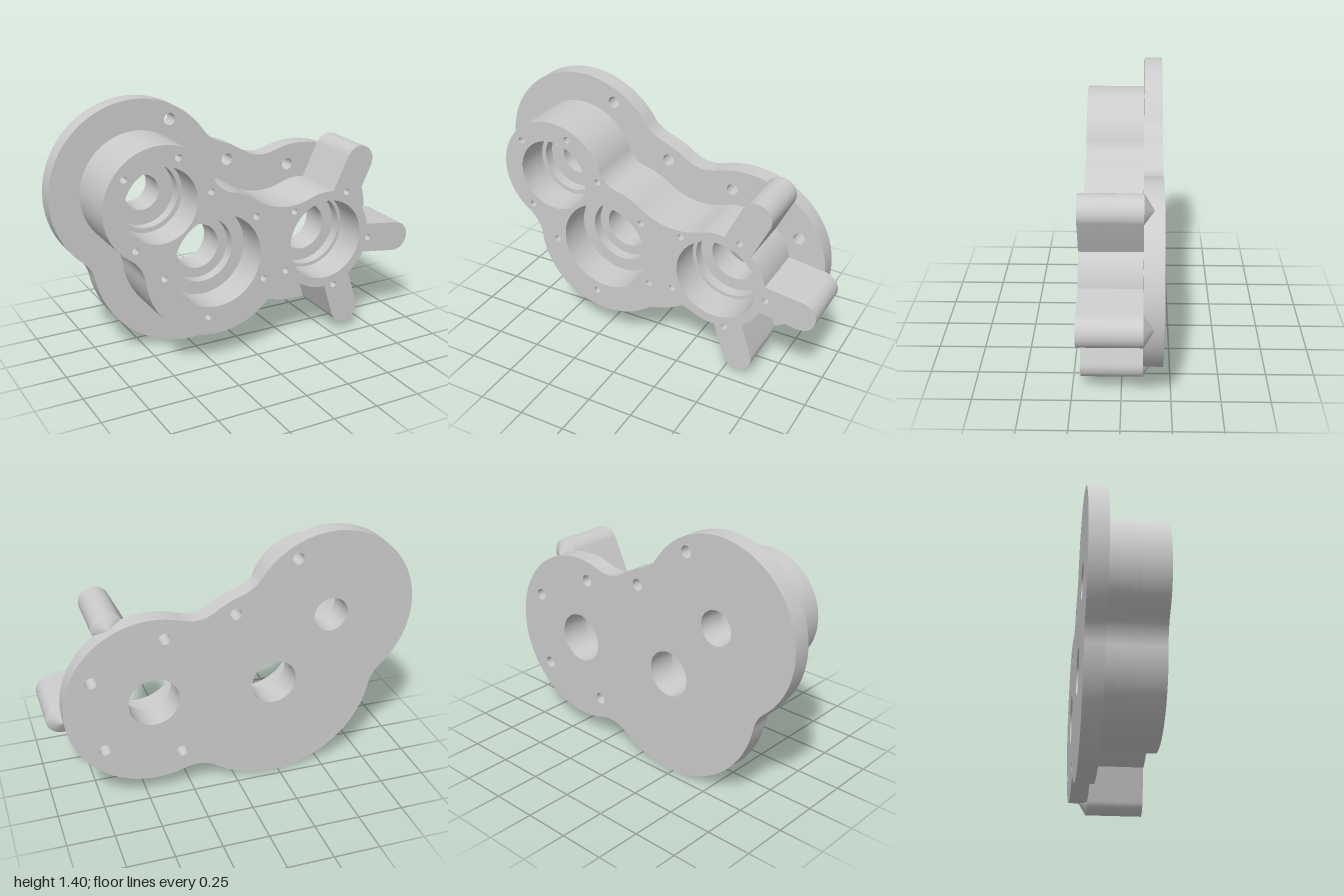
import * as THREE from 'three';
import { toCreasedNormals } from 'three/addons/utils/BufferGeometryUtils.js';

const BACK = -0.207, PLATE = -0.108, FRONT = 0.207;
const SEAT = 0.02, LIP = -0.04, SCREW_END = 0.06;
const RIB_R = 0.083;

// Bore centres with bearing, lip and shaft radii
const A = { x: -0.527, y: 0.932, radii: [0.2, 0.175, 0.095] };
const B = { x: -0.215, y: 0.577, radii: [0.253, 0.18, 0.125] };
const C = { x: 0.447, y: 0.577, radii: [0.225, 0.205, 0.137] };
const bores = [A, B, C];

// Rib end centres, in counterclockwise order around bore C
const ribEnds = [[0.585, 0.14], [0.917, 0.513], [0.653, 1.0]];

const screws = [
  [-0.43, 1.166], [-0.72, 1.096], [-0.25, 0.963], [-0.672, 0.719], [0.01, 0.786],
  [-0.521, 0.54], [0.057, 0.428], [-0.274, 0.273], [0.244, 0.775], [0.196, 0.444],
  [0.574, 0.834], [0.73, 0.54], [0.508, 0.299],
];
const bolts = [[-0.33, 1.278], [0.003, 1.016], [0.382, 0.936], [0.768, 0.749], [0.72, 0.334], [0.302, 0.243]];

// Centre of the concave blend of radius f lying outside circles a and b
function blend(a, b, f) {
  const dx = b.x - a.x, dy = b.y - a.y, d = Math.hypot(dx, dy);
  const ra = a.r + f, rb = b.r + f;
  const t = (ra * ra - rb * rb + d * d) / (2 * d);
  const h = Math.sqrt(ra * ra - t * t);
  return { x: a.x + (dx * t + dy * h) / d, y: a.y + (dy * t - dx * h) / d, f };
}

const angle = (from, to) => Math.atan2(to.y - from.y, to.x - from.x);

// Counterclockwise outline of circles joined by concave blends, with optional radial ribs
function outline(circles, fs) {
  const shape = new THREE.Shape();
  const n = circles.length;
  const blends = circles.map((c, i) => blend(c, circles[(i + 1) % n], fs[i]));
  circles.forEach((c, i) => {
    let start = angle(c, blends[(i + n - 1) % n]);
    for (const [x, y] of c.ribs || []) {
      const th = angle(c, { x, y }), half = Math.asin(RIB_R / c.r);
      shape.absarc(c.x, c.y, c.r, start, th - half, false);
      shape.absarc(x, y, RIB_R, th - Math.PI / 2, th + Math.PI / 2, false);
      start = th + half;
    }
    shape.absarc(c.x, c.y, c.r, start, angle(c, blends[i]), false);
    const b = blends[i];
    shape.absarc(b.x, b.y, b.f, angle(b, c), angle(b, circles[(i + 1) % n]), true);
  });
  return shape;
}

const plateOutline = () => outline([
  { ...C, r: 0.475 }, { ...B, r: 0.572 }, { ...A, r: 0.473 }, { ...B, r: 0.572 },
], [0.2, 0.2, 0.2, 0.2]);

const bossOutline = () => outline([
  { ...C, r: 0.277, ribs: ribEnds }, { ...B, r: 0.375 }, { ...A, r: 0.31 }, { ...B, r: 0.408 },
], [0.35, 0.13, 0.2, 0.2]);

export function createModel() {
  const group = new THREE.Group();
  const material = new THREE.MeshStandardMaterial({ color: 0xcccccc });

  const add = (name, geometry) => {
    const mesh = new THREE.Mesh(toCreasedNormals(geometry, 0.5), material);
    mesh.name = name;
    group.add(mesh);
    return mesh;
  };

  // One slab from z0 to z1, pierced by bores of the given step and extra round holes
  const layer = (name, shape, z0, z1, step, extra = [], extraR = 0) => {
    const holes = bores.map((b) => [b.x, b.y, b.radii[step]]);
    extra.forEach(([x, y]) => holes.push([x, y, extraR]));
    for (const [x, y, r] of holes) {
      shape.holes.push(new THREE.Path().absarc(x, y, r, 0, Math.PI * 2, true));
    }
    const geometry = new THREE.ExtrudeGeometry(shape, { depth: z1 - z0, bevelEnabled: false, curveSegments: 24 });
    add(name, geometry.translate(0, 0, z0));
  };

  // Mounting flange with bolt holes
  layer('mountingPlate', plateOutline(), BACK, PLATE, 2, bolts, 0.032);

  // Housing in steps: shaft holes, lips, bearing seats and screw holes
  layer('housingFloor', bossOutline(), PLATE, LIP, 2);
  layer('housingLip', bossOutline(), LIP, SEAT, 1);
  layer('bearingSeats', bossOutline(), SEAT, SCREW_END, 0);
  layer('housingRim', bossOutline(), SCREW_END, FRONT, 0, screws, 0.018);

  // Pointed tips behind the rib ends
  for (const [x, y] of ribEnds) {
    const cone = new THREE.ConeGeometry(RIB_R, 0.052, 48).rotateX(-Math.PI / 2);
    add('ribTip', cone).position.set(x, y, PLATE - 0.026);
  }
  return group;
}
